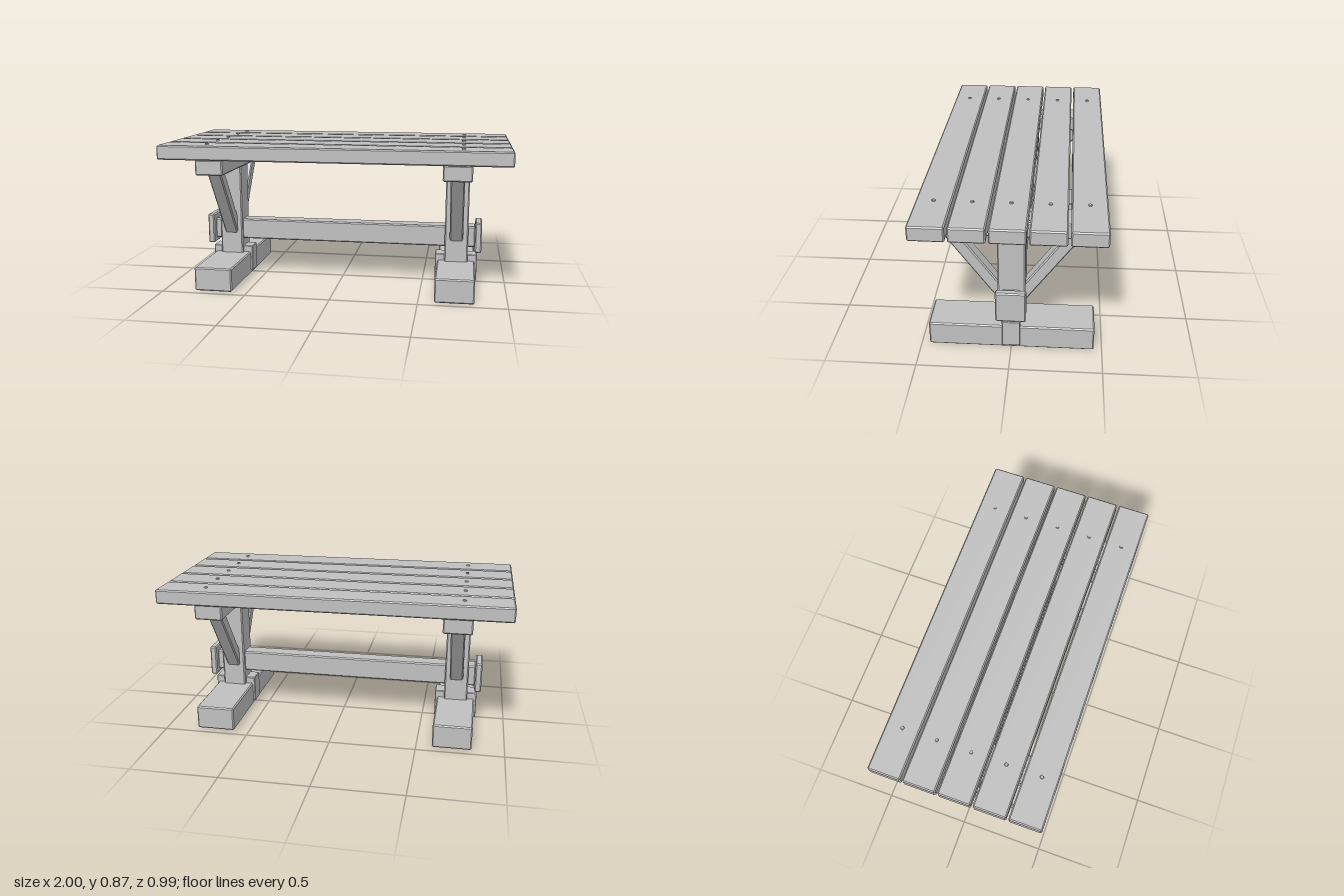
import * as THREE from 'three';
import { ConvexGeometry } from 'three/addons/geometries/ConvexGeometry.js';

const timber = new THREE.MeshStandardMaterial({ color: 0xc0c0c0 });
timber.name = 'grey timber';

// Box with every edge chamfered by c
function chamferedBox(w, h, d, c = 0.007) {
  const points = [];
  for (const x of [-0.5, 0.5]) for (const y of [-0.5, 0.5]) for (const z of [-0.5, 0.5]) {
    for (let axis = 0; axis < 3; axis++) {
      const p = [x * w, y * h, z * d];
      const s = [x, y, z];
      for (let k = 0; k < 3; k++) if (k !== axis) p[k] -= Math.sign(s[k]) * c;
      points.push(new THREE.Vector3(...p));
    }
  }
  return new ConvexGeometry(points);
}

function add(parent, name, geometry, x, y, z) {
  const mesh = new THREE.Mesh(geometry, timber);
  mesh.name = name;
  mesh.position.set(x, y, z);
  parent.add(mesh);
  return mesh;
}

// One trestle, with outward as +x or -x
function createTrestle(side) {
  const trestle = new THREE.Group();
  trestle.name = side > 0 ? 'leftTrestle' : 'rightTrestle';
  trestle.position.x = side * 0.703;
  add(trestle, 'foot', chamferedBox(0.225, 0.14, 0.91), 0, 0.07, 0);
  add(trestle, 'footPeg', chamferedBox(0.252, 0.16, 0.1, 0.004), 0, 0.1, 0);
  add(trestle, 'post', chamferedBox(0.14, 0.6, 0.15), 0, 0.42, 0);
  add(trestle, 'topBearer', chamferedBox(0.162, 0.09, 0.93), 0, 0.736, 0);
  add(trestle, 'endPlate', chamferedBox(0.04, 0.184, 0.166), side * 0.13, 0.292, 0);
  // Diagonal braces on both sides of the post
  for (const s of [-1, 1]) {
    const brace = add(trestle, 'brace', chamferedBox(0.08, 0.525, 0.068), 0, 0.497, s * 0.196);
    brace.rotation.x = s * 0.622;
  }
  return trestle;
}

export function createModel() {
  const table = new THREE.Group();
  table.name = 'trestleTable';

  // Table top planks with two bolts each
  const plank = chamferedBox(2, 0.083, 0.187);
  const bolt = new THREE.CylinderGeometry(0.009, 0.012, 0.012, 8).toNonIndexed();
  bolt.computeVertexNormals();
  for (let i = -2; i <= 2; i++) {
    add(table, 'plank', plank, 0, 0.8225, i * 0.2);
    for (const s of [-1, 1]) add(table, 'bolt', bolt, s * 0.73, 0.865, i * 0.2);
  }

  // Supports and the beam joining them
  for (const s of [-1, 1]) table.add(createTrestle(s));
  add(table, 'stretcher', chamferedBox(1.63, 0.126, 0.1), 0, 0.291, 0);
  return table;
}
